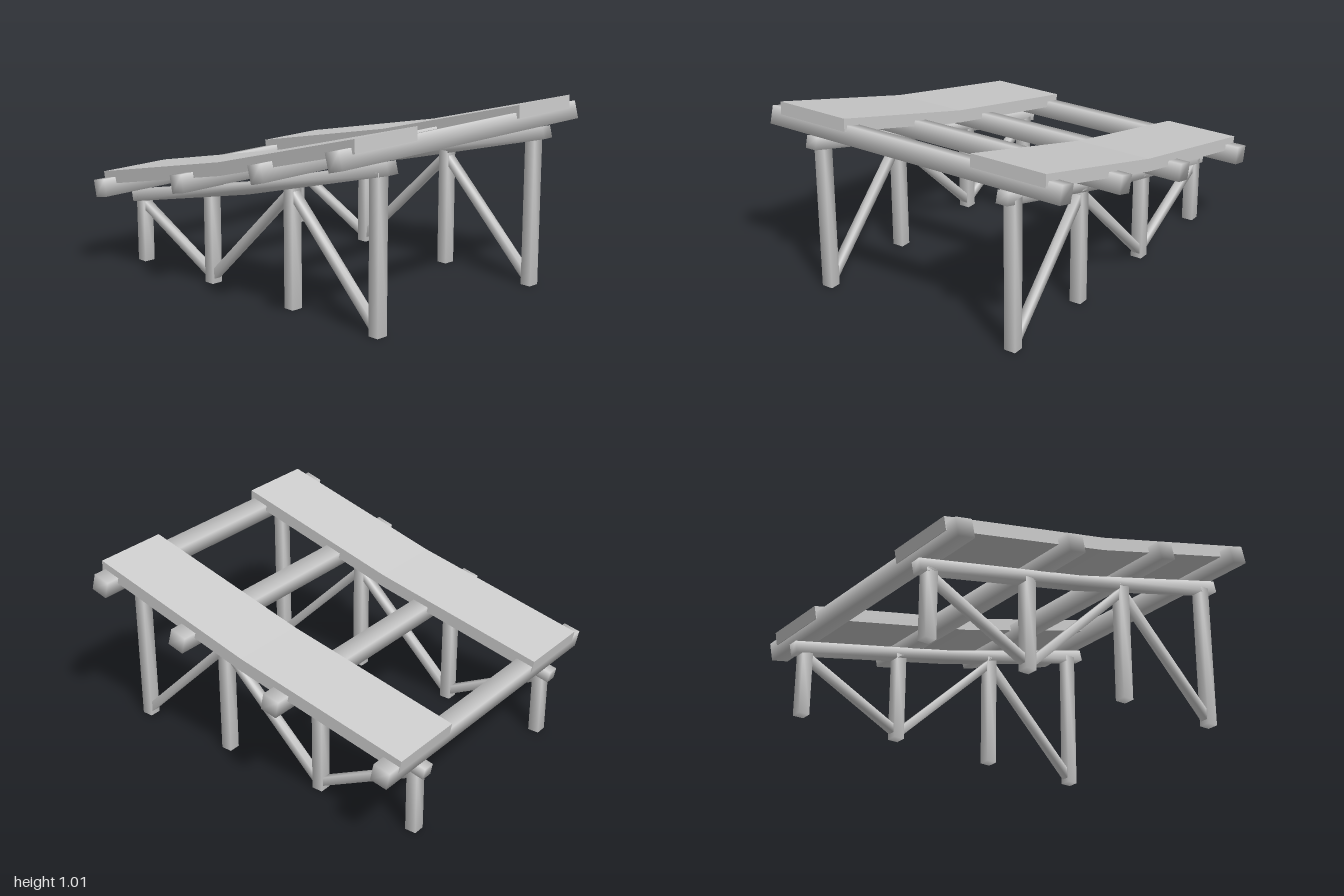
import * as THREE from 'three';
import { mergeVertices } from 'three/addons/utils/BufferGeometryUtils.js';

const material = new THREE.MeshStandardMaterial({ color: 0xcccccc });

// Weld the corners so that the timber is shaded softly round its edges
function soften(geometry) {
  geometry.deleteAttribute('normal');
  geometry.deleteAttribute('uv');
  const welded = mergeVertices(geometry, 1e-4);
  welded.computeVertexNormals();
  return welded;
}

// Closed side profile, extruded to the given width and centred on z
function profile(points, width) {
  const shape = new THREE.Shape(points.map(([x, y]) => new THREE.Vector2(x, y)));
  return new THREE.ExtrudeGeometry(shape, { depth: width, bevelEnabled: false })
    .translate(0, 0, -width / 2);
}

export function createModel() {
  const model = new THREE.Group();

  function add(name, geometry, x, y, z, tilt = 0) {
    const mesh = new THREE.Mesh(geometry, material);
    mesh.name = name;
    mesh.position.set(x, y, z);
    mesh.rotation.z = tilt;
    model.add(mesh);
  }

  // Square timber between two points of a side frame
  function timber(name, [x0, y0], [x1, y1], z, thick, depth) {
    const length = Math.hypot(x1 - x0, y1 - y0);
    add(name, soften(new THREE.BoxGeometry(length, thick, depth)),
      (x0 + x1) / 2, (y0 + y1) / 2, z, Math.atan2(y1 - y0, x1 - x0));
  }

  const plank = profile([[-0.977, 0.47], [0, 0.68], [0.96, 0.945], [0.957, 1.015],
    [0, 0.752], [-0.99, 0.54]], 0.425);
  const stringer = soften(profile([[-0.985, 0.335], [0, 0.55], [0.995, 0.817],
    [0.978, 0.88], [0, 0.613], [-0.998, 0.398]], 0.065));

  for (const side of [1, -1]) {
    const z = side * 0.59;
    const label = side > 0 ? 'front' : 'back';

    // Bent deck plank and the bent stringer below it
    add(label + 'Plank', plank, 0, 0, side * 0.6);
    add(label + 'Stringer', stringer, 0, 0, z);

    // Posts
    for (const [x, top] of [[-0.92, 0.37], [-0.327, 0.5], [0.303, 0.65], [0.9, 0.82]]) {
      timber(label + 'Post', [x, 0], [x, top], z, 0.062, 0.065);
    }

    // Diagonal braces
    const braces = [
      [[-0.92, 0.34], [-0.32, 0.035]],
      [[-0.325, 0.03], [0.305, 0.62]],
      [[0.305, 0.62], [0.9, 0.025]],
    ];
    for (const [from, to] of braces) timber(label + 'Brace', from, to, z, 0.044, 0.044);
  }

  // Cross beams, tilted with the slope
  const beam = soften(new THREE.BoxGeometry(0.097, 0.097, 1.78));
  for (const [x, y, tilt] of [[-0.922, 0.468, 0.2], [-0.247, 0.608, 0.21],
    [0.365, 0.763, 0.27], [0.903, 0.912, 0.27]]) {
    add('crossBeam', beam, x, y, 0, tilt);
  }

  return model;
}
